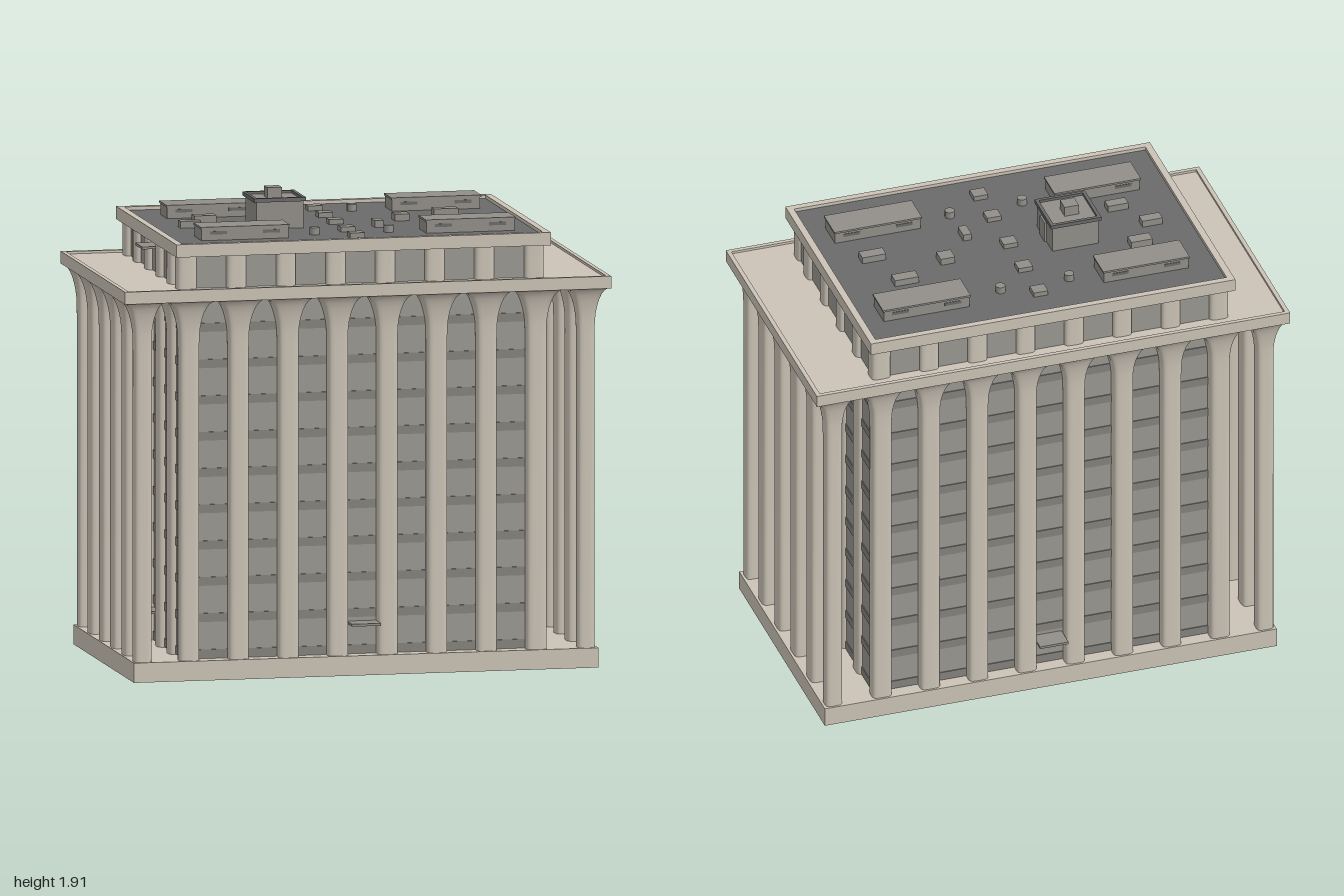
import * as THREE from 'three';

const mat = (color) => new THREE.MeshStandardMaterial({ color });
const stone = mat(0xcbc3b6);
const glass = mat(0x9a9892);
const ledgeMat = mat(0x84827d);
const roofMat = mat(0x6a6a6a);
const unitMat = mat(0x928f89);

function add(parent, name, geometry, material) {
  const m = new THREE.Mesh(geometry, material);
  m.name = name;
  parent.add(m);
  return m;
}

// Box given by its extents on each axis
function box(parent, name, x0, x1, y0, y1, z0, z1, material) {
  const m = add(parent, name, new THREE.BoxGeometry(x1 - x0, y1 - y0, z1 - z0), material);
  m.position.set((x0 + x1) / 2, (y0 + y1) / 2, (z0 + z1) / 2);
  return m;
}

// Rectangular rim: outer rectangle with a rectangular hole, standing from y0 to y1
function rim(parent, name, x0, x1, z0, z1, y0, y1, t, material) {
  const rect = (C, a, b, c, d) => {
    const p = new C();
    p.moveTo(a, c); p.lineTo(b, c); p.lineTo(b, d); p.lineTo(a, d); p.closePath();
    return p;
  };
  const s = rect(THREE.Shape, x0, x1, -z1, -z0);
  s.holes.push(rect(THREE.Path, x0 + t, x1 - t, -z1 + t, -z0 - t));
  const g = new THREE.ExtrudeGeometry(s, { depth: y1 - y0, bevelEnabled: false });
  g.rotateX(-Math.PI / 2);
  add(parent, name, g, material).position.y = y0;
}

// Rounded-square loft; each ring is [y, half width x, half width z, roundness power]
function loft(rings, n = 24) {
  const pos = [], idx = [];
  for (const [y, a, b, p] of rings) {
    for (let i = 0; i < n; i++) {
      const t = (i + 0.5) / n * Math.PI * 2, c = Math.cos(t), s = Math.sin(t);
      pos.push(a * Math.sign(c) * Math.abs(c) ** (2 / p), y, b * Math.sign(s) * Math.abs(s) ** (2 / p));
    }
  }
  for (let r = 0; r < rings.length - 1; r++) {
    for (let i = 0; i < n; i++) {
      const a = r * n + i, b = r * n + (i + 1) % n;
      idx.push(a, a + n, b, b, a + n, b + n);
    }
  }
  const g = new THREE.BufferGeometry();
  g.setAttribute('position', new THREE.Float32BufferAttribute(pos, 3));
  g.setIndex(idx);
  g.computeVertexNormals();
  return g;
}

// Column whose head curves outward into an arch springing
function flaredColumn(hx, hz, fx, fz) {
  const rings = [[0.08, hx, hz, 4], [1.34, hx, hz, 4]];
  for (let i = 1; i <= 8; i++) {
    const a = i / 8 * Math.PI / 2, k = 1 - Math.cos(a);
    rings.push([1.37 + 0.17 * Math.sin(a), hx + (fx - hx) * k, hz + (fz - hz) * k, 4 + 10 * k]);
  }
  return loft(rings);
}

export function createModel() {
  const model = new THREE.Group();
  const colX = [...Array(8)].map((_, i) => -0.722 + i * 0.204);
  const colZ = [...Array(4)].map((_, i) => -0.305 + i * 0.2045);

  // Base and main cornice slab
  box(model, 'base', -0.955, 0.955, 0, 0.08, -0.545, 0.545, stone);
  box(model, 'corniceSlab', -1, 1, 1.54, 1.58, -0.58, 0.58, stone);
  rim(model, 'corniceRim', -1, 1, -0.58, 0.58, 1.58, 1.59, 0.018, stone);

  // Tower body with a shallow band under every floor line
  const body = new THREE.Group();
  body.name = 'body';
  model.add(body);
  box(body, 'windowWalls', -0.735, 0.73, 0.08, 1.54, -0.485, 0.485, glass);
  for (let i = 0; i < 10; i++) {
    const y = 0.117 + i * 0.147;
    box(body, 'floorBand', -0.739, 0.734, y - 0.035, y, -0.489, 0.489, ledgeMat);
  }
  box(body, 'upperWindowWalls', -0.74, 0.735, 1.58, 1.72, -0.505, 0.47, glass);

  // Outer colonnade on all four sides
  const columns = new THREE.Group();
  columns.name = 'colonnade';
  model.add(columns);
  const frontCol = flaredColumn(0.041, 0.032, 0.102, 0.073);
  const sideCol = flaredColumn(0.035, 0.042, 0.086, 0.102);
  const cornerCol = flaredColumn(0.035, 0.032, 0.087, 0.073);
  for (const z of [-0.505, 0.505]) {
    for (const x of colX) add(columns, 'frontColumn', frontCol, stone).position.set(x, 0, z);
    for (const x of [-0.913, 0.91]) add(columns, 'cornerColumn', cornerCol, stone).position.set(x, 0, z);
  }

  // Outer and inner rows either side of the open end galleries
  const innerCol = flaredColumn(0.041, 0.042, 0.1, 0.102);
  for (const z of colZ) {
    for (const x of [-0.913, 0.91]) add(columns, 'sideColumn', sideCol, stone).position.set(x, 0, z);
    for (const x of [-0.722, 0.708]) add(columns, 'innerColumn', innerCol, stone).position.set(x, 0, z);
  }

  // Upper storey columns
  const upperCol = loft([[1.57, 0.041, 0.036, 4], [1.73, 0.041, 0.036, 4]]);
  for (const x of colX) {
    for (const z of [-0.487, 0.455]) add(columns, 'upperColumn', upperCol, stone).position.set(x, 0, z);
  }
  for (const z of colZ) {
    for (const x of [-0.722, 0.714]) add(columns, 'upperSideColumn', upperCol, stone).position.set(x, 0, z);
  }

  // Roof slab with parapet
  box(model, 'roofDeck', -0.76, 0.74, 1.722, 1.756, -0.525, 0.525, roofMat);
  rim(model, 'parapet', -0.78, 0.76, -0.545, 0.545, 1.718, 1.77, 0.028, stone);

  // Entrance canopies and the small upper balcony
  for (const s of [-1, 1]) {
    box(model, 'canopy', -0.065, 0.055, 0.203, 0.213, s * 0.51 - 0.065, s * 0.51 + 0.065, unitMat);
    box(model, 'sideCanopy', s * 0.745 - 0.06, s * 0.745 + 0.06, 0.203, 0.213, -0.06, 0.06, unitMat);
  }
  box(model, 'upperBalcony', -0.81, -0.69, 1.682, 1.692, -0.065, 0.055, unitMat);

  // Long roof plant boxes with slotted sides
  const roof = new THREE.Group();
  roof.name = 'roofEquipment';
  model.add(roof);
  for (const [x0, x1] of [[-0.64, -0.275], [0.285, 0.655]]) {
    for (const zc of [-0.318, 0.303]) {
      box(roof, 'plantBox', x0 + 0.004, x1 - 0.004, 1.75, 1.803, zc - 0.062, zc + 0.062, unitMat);
      box(roof, 'plantLid', x0, x1, 1.803, 1.811, zc - 0.067, zc + 0.067, unitMat);
      for (const f of [0.2, 0.8]) {
        const x = x0 + (x1 - x0) * f;
        box(roof, 'vent', x - 0.035, x + 0.035, 1.78, 1.793, zc - 0.064, zc + 0.064, roofMat);
      }
    }
  }

  // Stair tower
  box(roof, 'stairTower', -0.352, -0.158, 1.75, 1.87, -0.09, 0.107, unitMat);
  rim(roof, 'stairTowerRim', -0.363, -0.15, -0.097, 0.115, 1.865, 1.881, 0.014, roofMat);
  box(roof, 'stairTowerCap', -0.29, -0.23, 1.865, 1.912, -0.028, 0.032, unitMat);
  box(roof, 'stairTowerDoor', -0.16, -0.15, 1.75, 1.845, -0.012, 0.048, unitMat);

  // Row of hatches, round vents and small air units
  for (const z of [-0.368, -0.175, 0.015, 0.225, 0.395]) {
    box(roof, 'hatch', -0.038, 0.022, 1.75, 1.776, z - 0.028, z + 0.028, unitMat);
  }
  const ventGeo = new THREE.CylinderGeometry(0.02, 0.02, 0.035, 16);
  for (const [x, z] of [[-0.155, -0.31], [0.135, -0.31], [-0.155, 0.29], [0.15, 0.29]]) {
    add(roof, 'roundVent', ventGeo, unitMat).position.set(x, 1.767, z);
  }
  const units = [[-0.51, -0.145, 0.09, 0.05], [-0.6, -0.01, 0.085, 0.045], [-0.505, 0.14, 0.085, 0.045],
    [0.475, -0.12, 0.1, 0.05], [0.545, 0.085, 0.1, 0.05], [0.14, 0.13, 0.035, 0.07], [0.27, -0.02, 0.06, 0.06]];
  for (const [x, z, w, d] of units) {
    box(roof, 'airUnit', x - w / 2, x + w / 2, 1.75, 1.784, z - d / 2, z + d / 2, unitMat);
  }
  return model;
}
